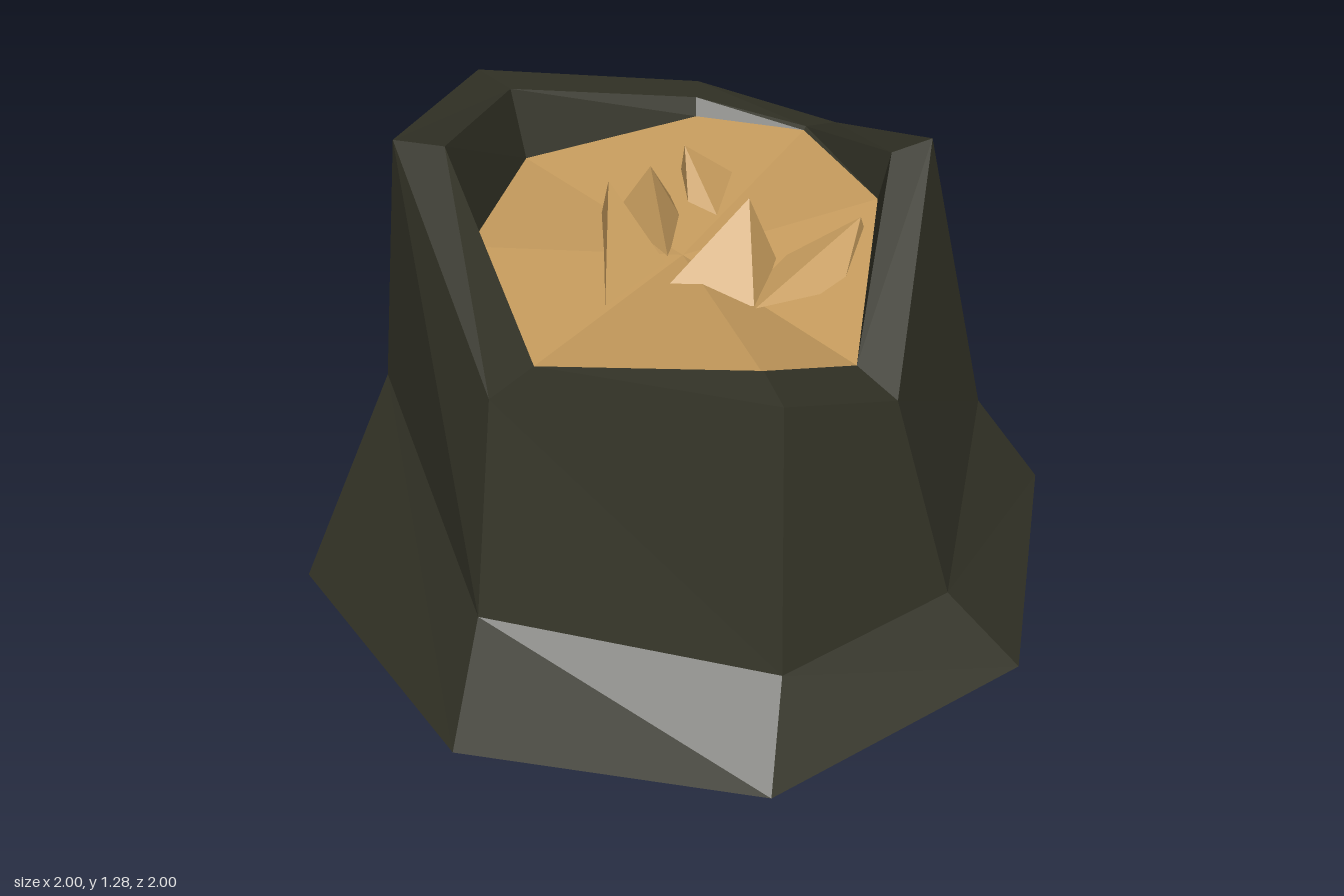
import * as THREE from 'three';
import { ConvexGeometry } from 'three/addons/geometries/ConvexGeometry.js';

// Eight-sided rings of [x, y, z], starting at the back and running via +x
const base = [[0.12, 0, -1], [0.79, 0, -0.62], [1, 0, 0.12], [0.62, 0, 0.79],
  [-0.12, 0, 1], [-0.79, 0, 0.62], [-1, 0, -0.12], [-0.64, 0, -0.78]];
const flare = [[0.05, 0.57, -0.79], [0.69, 0.37, -0.52], [0.83, 0.26, 0.06], [0.46, 0.2, 0.68],
  [-0.03, 0.2, 0.82], [-0.68, 0.3, 0.5], [-0.73, 0.55, -0.18], [-0.36, 0.82, -0.62]];
const rimOuter = [[0.25, 1, -0.61], [0.58, 0.91, -0.43], [0.66, 1.08, 0], [0.33, 0.76, 0.59],
  [0, 0.9, 0.7], [-0.6, 0.86, 0.41], [-0.68, 1.28, -0.08], [-0.36, 1.16, -0.57]];
const rimInner = [[0.21, 1.01, -0.51], [0.47, 0.95, -0.37], [0.55, 1.06, 0], [0.27, 0.8, 0.48],
  [0, 0.91, 0.57], [-0.47, 0.86, 0.32], [-0.56, 1.24, -0.08], [-0.3, 1.14, -0.48]];
const woodEdge = [[0.2, 0.97, -0.48], [0.46, 0.945, -0.36], [0.52, 0.93, 0], [0.27, 0.8, 0.48],
  [0, 0.9, 0.57], [-0.47, 0.86, 0.32], [-0.52, 0.96, -0.07], [-0.28, 0.96, -0.43]];

// Strip of faces between two rings
function strip(lower, upper) {
  return lower.flatMap((a, i) => {
    const j = (i + 1) % lower.length;
    return [lower[j], a, upper[j], a, upper[i], upper[j]];
  });
}

// Fan of faces closing a ring
function cap(ring, centre, up) {
  return ring.flatMap((a, i) => {
    const b = ring[(i + 1) % ring.length];
    return up ? [centre, b, a] : [centre, a, b];
  });
}

function faces(points) {
  const geo = new THREE.BufferGeometry();
  geo.setAttribute('position', new THREE.Float32BufferAttribute(points.flat(), 3));
  geo.computeVertexNormals();
  return geo;
}

function material(name, color) {
  const m = new THREE.MeshStandardMaterial({ color, flatShading: true });
  m.name = name;
  return m;
}

export function createModel() {
  const group = new THREE.Group();
  group.name = 'treeStump';
  const bark = material('dark bark', 0x323226);
  const wood = material('cut wood', 0xc49a5c);

  function add(name, geo, mat) {
    const mesh = new THREE.Mesh(geo, mat);
    mesh.name = name;
    group.add(mesh);
  }

  // Bark shell: flared roots, trunk, rim and inner wall
  add('roots', faces(strip(base, flare)), bark);
  add('trunk', faces(strip(flare, rimOuter)), bark);
  add('rim', faces(strip(rimOuter, rimInner)), bark);
  add('innerWall', faces(strip(rimInner, woodEdge)), bark);
  add('underside', faces(cap(base, [0, 0, 0], false)), bark);

  // Broken wood surface
  add('woodTop', faces(cap(woodEdge, [0, 0.87, 0], true)), wood);

  // Splinters: peak, then base points as [x, z]
  const splinters = [
    [[-0.14, 1.02, -0.16], [[-0.16, -0.2], [-0.26, 0.19], [-0.04, 0.05], [-0.05, -0.1]]],
    [[-0.04, 1.06, -0.13], [[-0.15, -0.2], [0.07, -0.24], [0.06, -0.14], [-0.04, 0.02]]],
    [[0.1, 1.01, -0.28], [[0.09, -0.31], [0.32, -0.23], [0.14, -0.05], [0.06, -0.12]]],
    [[0.15, 1.04, 0.06], [[-0.1, 0.12], [0.13, 0.03], [0.22, 0.1], [0.1, 0.24]]],
    [[0.44, 0.94, 0.08], [[0.15, 0.1], [0.47, 0.07], [0.33, 0.24], [0.1, 0.25]]],
  ];
  for (const [peak, foot] of splinters) {
    const points = foot.map(([x, z]) => new THREE.Vector3(x, 0.85, z));
    points.push(new THREE.Vector3(...peak));
    add('splinter', new ConvexGeometry(points), wood);
  }
  return group;
}
